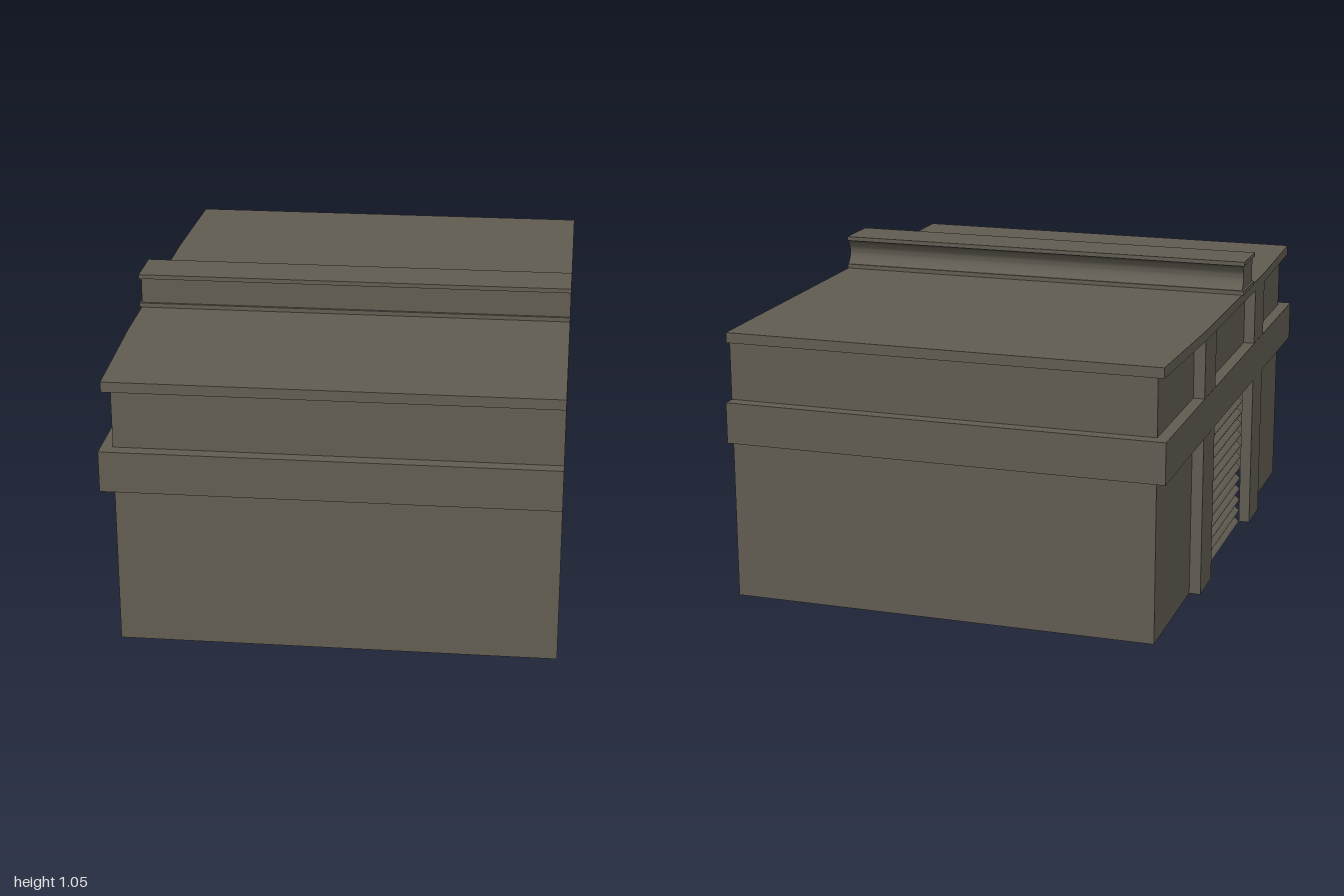
import * as THREE from 'three';
import { toCreasedNormals } from 'three/addons/utils/BufferGeometryUtils.js';

const concrete = new THREE.MeshStandardMaterial({ color: 0x625d52, side: THREE.DoubleSide });
concrete.name = 'grey brown concrete';

// Sweep a line of 3D points along a vector to make an open sheet
function sheet(points, sweep) {
  const positions = [];
  for (let i = 0; i < points.length - 1; i++) {
    const a = points[i], b = points[i + 1];
    const c = b.clone().add(sweep), d = a.clone().add(sweep);
    for (const p of [a, d, c, a, c, b]) positions.push(p.x, p.y, p.z);
  }
  const g = new THREE.BufferGeometry();
  g.setAttribute('position', new THREE.Float32BufferAttribute(positions, 3));
  return toCreasedNormals(g, 0.6);
}

// Upright sheet following a plan outline of [x, z] points
const upright = (plan, y0, y1) =>
  sheet(plan.map(([x, z]) => new THREE.Vector3(x, y0, z)), new THREE.Vector3(0, y1 - y0, 0));

// Horizontal plate filling a plan outline
function plate(plan, y) {
  const g = new THREE.ShapeGeometry(new THREE.Shape(plan.map(([x, z]) => new THREE.Vector2(x, -z))));
  return g.rotateX(-Math.PI / 2).translate(0, y, 0);
}

// Complete a half outline by mirroring it in z
const mirrorZ = (half) => [...half, ...half.map(([x, z]) => [x, -z]).reverse()];

export function createModel() {
  const model = new THREE.Group();
  model.name = 'garage';
  const add = (name, geometry) => {
    const mesh = new THREE.Mesh(geometry, concrete);
    mesh.name = name;
    model.add(mesh);
    return mesh;
  };

  // Plan outlines, open on the +x side
  const END = 0.752, FACE = -0.75, INSET = -0.71;
  const halfWall = [
    [END, 0.955], [INSET, 0.955], [INSET, 0.475],
    [FACE + 0.001, 0.475], [FACE + 0.001, 0.315], [INSET, 0.315],
  ];
  const wall = mirrorZ(halfWall);
  const band = mirrorZ([[END, 1], [FACE, 1]]);
  const trim = mirrorZ([[END, 0.98], [-0.736, 0.98], [FACE, 0.48]]);

  // Walls with pilasters; the lower row leaves the doorway open
  add('lowerWallFront', upright(halfWall, 0, 0.555));
  add('lowerWallBack', upright(halfWall.map(([x, z]) => [x, -z]).reverse(), 0, 0.555));
  add('upperWall', upright(wall, 0.695, 0.895));
  add('wallBand', upright(band, 0.555, 0.695));
  add('roofTrim', upright(trim, 0.895, 0.93));

  // Ledges joining the wall to the band and the trim
  const ledge = (outer) => [...outer, ...[...wall].reverse()];
  add('bandUnderside', plate(ledge(band), 0.555));
  add('bandTop', plate(ledge(band), 0.695));
  add('trimUnderside', plate(ledge(trim), 0.895));
  add('roof', plate(trim, 0.93));

  // Corrugated roller door
  const slats = 13, steps = 8, doorLine = [];
  for (let i = 0; i <= slats * steps; i++) {
    const wave = Math.cos((i / steps) * Math.PI * 2);
    doorLine.push(new THREE.Vector3(-0.7 - 0.01 * wave, (0.555 * i) / (slats * steps), -0.315));
  }
  add('rollerDoor', sheet(doorLine, new THREE.Vector3(0, 0, 0.63)));

  // Roof duct: flat on the front side, hollowed on the back side
  const neck = [[0.237, 0.945], [0.237, 1.035], [0.073, 1.035]];
  for (let i = 1; i <= 12; i++) {
    const t = i / 12;
    neck.push([0.073 + 0.022 * Math.sin(Math.PI * t), 1.035 - 0.09 * t]);
  }
  add('ductBody', sheet(neck.map(([z, y]) => new THREE.Vector3(FACE, y, z)),
    new THREE.Vector3(END - FACE, 0, 0)));
  const cap = new THREE.ShapeGeometry(new THREE.Shape(neck.map(([z, y]) => new THREE.Vector2(z, y))));
  add('ductEnd', cap.rotateY(-Math.PI / 2).translate(FACE, 0, 0));

  // Flanges above and below the duct
  for (const [name, y] of [['ductBase', 0.938], ['ductTop', 1.0425]]) {
    add(name, new THREE.BoxGeometry(END + 0.757, 0.015, 0.178))
      .position.set((END - 0.757) / 2, y, 0.157);
  }
  return model;
}
